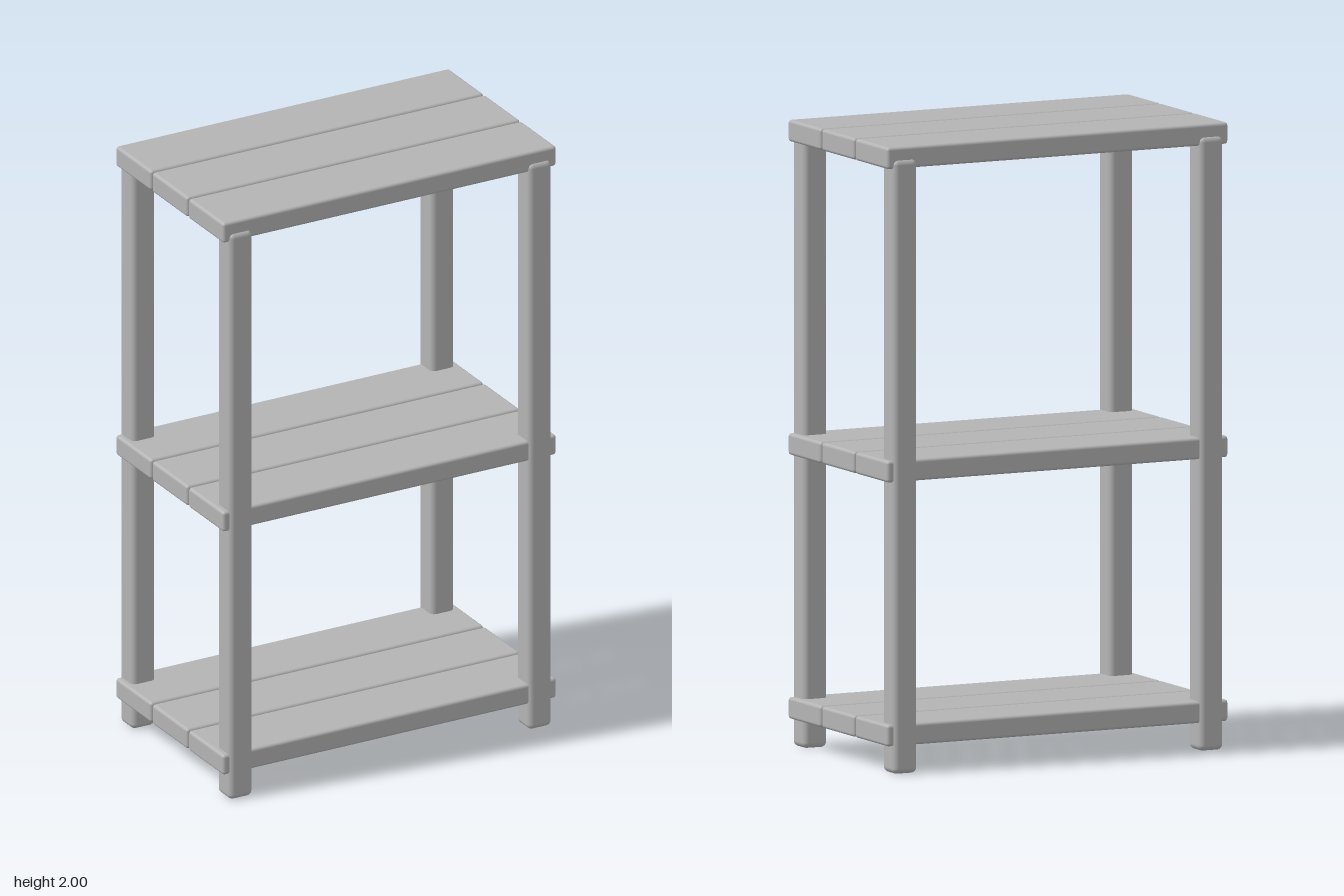
import * as THREE from 'three';
import { RoundedBoxGeometry } from 'three/addons/geometries/RoundedBoxGeometry.js';

export function createModel() {
  const model = new THREE.Group();
  model.name = 'shelfUnit';
  const grey = new THREE.MeshStandardMaterial({ color: 0xb4b4b4 });
  grey.name = 'grey';

  const add = (parent, name, geometry, x, y, z) => {
    const mesh = new THREE.Mesh(geometry, grey);
    mesh.name = name;
    mesh.position.set(x, y, z);
    parent.add(mesh);
  };

  // Four posts with rounded edges, proud of the boards front and back
  const legHeight = 1.96;
  const leg = new RoundedBoxGeometry(0.085, legHeight, 0.085, 3, 0.018);
  for (const [zName, z] of [['front', 0.311], ['back', -0.311]]) {
    for (const [xName, x] of [['Left', 0.543], ['Right', -0.543]]) {
      add(model, `${zName}${xName}Leg`, leg, x, legHeight / 2, z);
    }
  }

  // Three shelves, each of three boards with narrow gaps
  const thickness = 0.069;
  const board = new RoundedBoxGeometry(1.21, thickness, 0.225, 3, 0.01);
  for (const [name, top] of [['bottom', 0.158], ['middle', 1.0], ['top', 2.0]]) {
    const shelf = new THREE.Group();
    shelf.name = `${name}Shelf`;
    for (const [part, z] of [['front', 0.232], ['middle', 0], ['back', -0.232]]) {
      add(shelf, `${part}Board`, board, 0, top - thickness / 2, z);
    }
    model.add(shelf);
  }
  return model;
}
